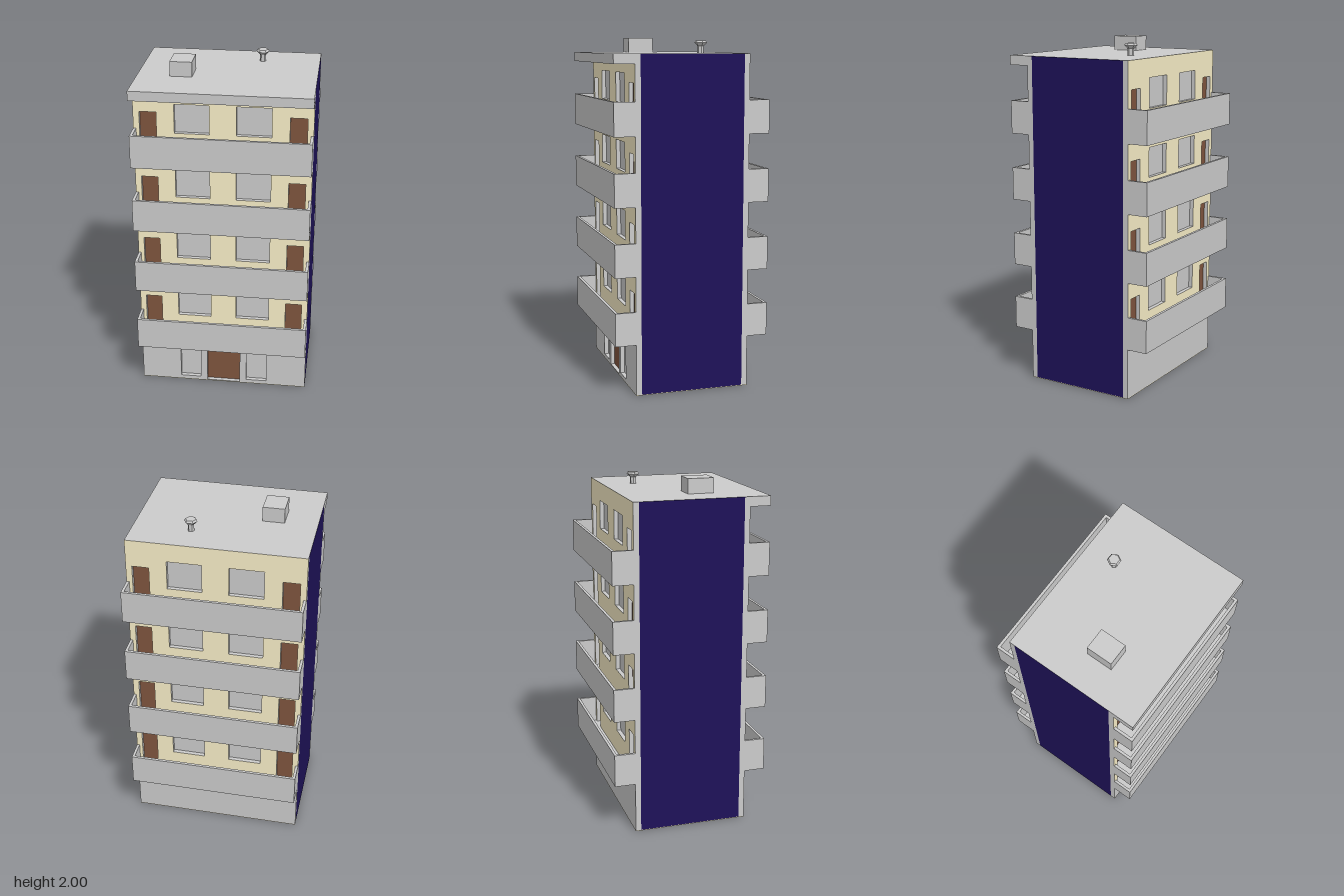
import * as THREE from 'three';

const mat = (color) => new THREE.MeshStandardMaterial({ color });
const grey = mat(0xcccccc);
const cream = mat(0xf8eec7);
const brown = mat(0x7e543e);
const blue = mat(0x1e1259);
const glass = mat(0xdcdcdc);

const CORE = 0.3;    // half depth of the core
const WALL = 0.332;  // outer face of the facade walls
const EDGE = 0.452;  // outer face of the balconies
const TOP = 1.915;
const FLOORS = [0.295, 0.685, 1.077, 1.467]; // undersides of the balconies
const RAIL = 0.19;   // balcony height
const SLAB = 0.03;

// Box given by its lower and upper corners
function box(parent, name, material, [x0, y0, z0], [x1, y1, z1]) {
  const mesh = new THREE.Mesh(new THREE.BoxGeometry(x1 - x0, y1 - y0, z1 - z0), material);
  mesh.position.set((x0 + x1) / 2, (y0 + y1) / 2, (z0 + z1) / 2);
  mesh.name = name;
  parent.add(mesh);
  return mesh;
}

const rectPoints = (x0, y0, x1, y1) => [
  new THREE.Vector2(x0, y0), new THREE.Vector2(x1, y0),
  new THREE.Vector2(x1, y1), new THREE.Vector2(x0, y1),
];

// Wall with recessed openings, each filled by a thin panel
function wall(parent, name, face, y0, y1, openings) {
  const shape = new THREE.Shape(rectPoints(-0.5, y0, 0.5, y1));
  for (const o of openings) shape.holes.push(new THREE.Path(rectPoints(...o.rect).reverse()));
  const geometry = new THREE.ExtrudeGeometry(shape, { depth: WALL - CORE, bevelEnabled: false });
  const mesh = new THREE.Mesh(geometry, [face, grey]);
  mesh.position.z = CORE;
  mesh.name = name;
  parent.add(mesh);
  for (const { rect: [a, b, c, d], name: n, material } of openings) {
    box(parent, n, material, [a, b, CORE], [c, d, CORE + 0.008]);
  }
}

// Tray-shaped balcony: slab, front rail and two end rails
function balcony(parent, y) {
  const group = new THREE.Group();
  group.name = 'balcony';
  const t = 0.016, top = y + RAIL;
  box(group, 'balconySlab', grey, [-0.5, y, WALL], [0.5, y + SLAB, EDGE]);
  box(group, 'balconyFrontRail', grey, [-0.5, y + SLAB, EDGE - t], [0.5, top, EDGE]);
  for (const x of [-0.5, 0.5 - t]) {
    box(group, 'balconyEndRail', grey, [x, y + SLAB, WALL], [x + t, top, EDGE - t]);
  }
  parent.add(group);
}

// Four apartment floors with windows, balcony doors and balconies
function facade(name, wallTop) {
  const group = new THREE.Group();
  group.name = name;
  FLOORS.forEach((y, i) => {
    const openings = [];
    for (const s of [-1, 1]) {
      const span = (a, b) => (s > 0 ? [a, b] : [-b, -a]);
      const [w0, w1] = span(0.075, 0.27);
      const [d0, d1] = span(0.37, 0.465);
      openings.push({ name: 'window', material: glass, rect: [w0, y + 0.17, w1, y + 0.34] });
      openings.push({ name: 'balconyDoor', material: brown, rect: [d0, y + SLAB, d1, y + 0.29] });
    }
    wall(group, 'apartmentWall', cream, y, FLOORS[i + 1] ?? wallTop, openings);
    balcony(group, y);
  });
  return group;
}

export function createModel() {
  const model = new THREE.Group();
  model.name = 'apartmentBlock';

  // Core: blue side walls, grey roof
  const core = box(model, 'core', blue, [-0.5, 0.004, -CORE], [0.5, TOP, CORE]);
  core.material = [blue, blue, grey, cream, grey, grey];
  box(model, 'basePlate', cream, [-0.5, 0, -WALL], [0.5, 0.004, WALL]);

  // Front with entrance floor and roof overhang
  const front = facade('frontFacade', 1.86);
  wall(front, 'entranceWall', grey, 0.004, FLOORS[0], [
    { name: 'entranceDoor', material: brown, rect: [-0.1, 0.006, 0.1, 0.245] },
    { name: 'entranceWindow', material: glass, rect: [-0.263, 0.025, -0.14, 0.222] },
    { name: 'entranceWindow', material: glass, rect: [0.14, 0.025, 0.263, 0.222] },
  ]);
  box(front, 'roofOverhang', grey, [-0.5, 1.86, CORE], [0.5, TOP, EDGE]);
  model.add(front);

  // Back with a plain ground floor and no overhang
  const back = facade('backFacade', TOP);
  wall(back, 'groundWall', grey, 0.004, FLOORS[0], []);
  back.rotation.y = Math.PI;
  model.add(back);

  // Roof housing
  box(model, 'roofHousing', grey, [-0.315, TOP, 0.032], [-0.19, 2, 0.183]);

  // Roof vent: post, flared neck and faceted cap
  const vent = new THREE.Group();
  vent.name = 'roofVent';
  const ventGrey = new THREE.MeshStandardMaterial({ color: 0xcccccc, flatShading: true });
  const ventPart = (name, rTop, rBottom, y0, y1) => {
    const mesh = new THREE.Mesh(new THREE.CylinderGeometry(rTop, rBottom, y1 - y0, 6), ventGrey);
    mesh.position.y = (y0 + y1) / 2;
    mesh.rotation.y = Math.PI / 6;
    mesh.name = name;
    vent.add(mesh);
  };
  ventPart('ventPost', 0.018, 0.018, 0, 0.045);
  ventPart('ventNeck', 0.037, 0.02, 0.04, 0.058);
  ventPart('ventCap', 0.03, 0.038, 0.058, 0.07);
  vent.position.set(0.172, TOP, -0.152);
  model.add(vent);

  return model;
}
